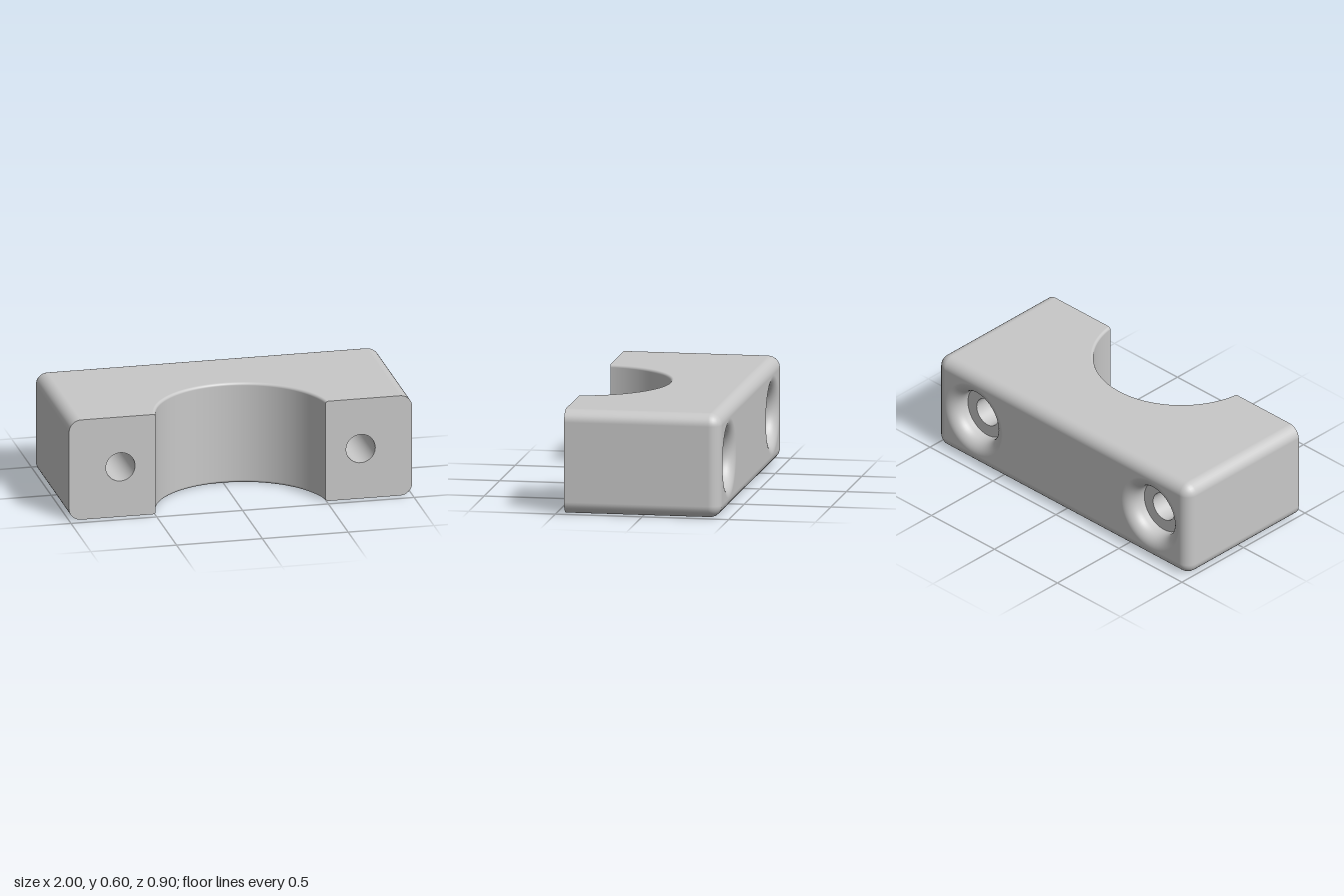
import * as THREE from 'three';

const W = 1, H = 0.6, D = 0.45;          // half width, height, half depth
const EDGE = 0.07;                       // outer edge rounding
const BORE_R = 0.5, BORE_Z = 0.52, BORE_F = 0.016; // saddle cut and its rim rounding
const HOLE_X = 0.7, HOLE_Y = H / 2, HOLE_R = 0.085;   // bolt holes
const SINK_R = 0.155, SINK_F = 0.073, SINK_D = 0.11;  // recess for the bolt head
const Q = Math.PI / 2;

// Smooth surface from a grid of { p: position, n: normal }, wound to face its normals
function grid(rows, cols, at, skip = () => false) {
  const pos = [], nor = [], index = [];
  for (let j = 0; j <= rows; j++) for (let i = 0; i <= cols; i++) {
    const { p, n } = at(i, j);
    pos.push(...p);
    nor.push(...n);
  }
  const vec = (a, i) => new THREE.Vector3().fromArray(a, i * 3);
  const tri = (a, b, c) => {
    const pa = vec(pos, a);
    const face = vec(pos, b).sub(pa).cross(vec(pos, c).sub(pa));
    if (face.lengthSq() < 1e-16) return;
    const want = vec(nor, a).add(vec(nor, b)).add(vec(nor, c));
    index.push(...(face.dot(want) > 0 ? [a, b, c] : [a, c, b]));
  };
  for (let j = 0; j < rows; j++) for (let i = 0; i < cols; i++) {
    if (skip(i, j)) continue;
    const a = j * (cols + 1) + i, b = a + cols + 1;
    tri(a, a + 1, b);
    tri(a + 1, b + 1, b);
  }
  const g = new THREE.BufferGeometry();
  g.setAttribute('position', new THREE.Float32BufferAttribute(pos, 3));
  g.setAttribute('normal', new THREE.Float32BufferAttribute(nor, 3));
  g.setIndex(index);
  return g;
}

// Rounded sides and back edges, leaving the flat top and bottom open
function shellGeometry() {
  const S = 8, cols = 4 * (S + 1);
  return grid(S + 1, cols, (i, j) => {
    const c = Math.floor(i / (S + 1)) % 4, a = (c + (i % (S + 1)) / S) * Q;
    const t = j === 0 ? 0 : ((j - 1) / S) * Q;
    const n = [Math.cos(a) * Math.cos(t), Math.sin(a) * Math.cos(t), -Math.sin(t)];
    const cx = (c === 0 || c === 3 ? 1 : -1) * (W - EDGE);
    const cy = c < 2 ? H - EDGE : EDGE;
    const z = j === 0 ? D : -D + EDGE + EDGE * n[2];
    return { p: [cx + EDGE * n[0], cy + EDGE * n[1], z], n };
  }, (i, j) => j === 0 && (i === S || i === 3 * S + 2));
}

// Saddle cut profile from bottom to top: radius, height and normal
const saddleProfile = [];
for (let k = 0; k <= 6; k++) {
  const t = (1 - k / 6) * Q;
  saddleProfile.push({ r: BORE_R + BORE_F * (1 - Math.cos(t)), y: BORE_F * (1 - Math.sin(t)), nr: -Math.cos(t), ny: -Math.sin(t) });
}
for (let k = 6; k >= 0; k--) {
  const s = saddleProfile[k];
  saddleProfile.push({ ...s, y: H - s.y, ny: -s.ny });
}
const saddleAngle = r => Math.acos((BORE_Z - D) / r);

function saddleGeometry() {
  const cols = 64;
  return grid(saddleProfile.length - 1, cols, (i, j) => {
    const { r, y, nr, ny } = saddleProfile[j];
    const a = saddleAngle(r) * (2 * i / cols - 1), s = Math.sin(a), c = -Math.cos(a);
    return { p: [r * s, y, BORE_Z + r * c], n: [nr * s, ny, nr * c] };
  });
}

// Flat face with the saddle notch at height y; flip = -1 faces up, 1 faces down
function notchedFace(flip, y) {
  const r = BORE_R + BORE_F, A = saddleAngle(r), x = W - EDGE;
  const pts = [[-x, D], [-x, -D + EDGE], [x, -D + EDGE], [x, D]];
  for (let i = 0; i <= 64; i++) {
    const a = A * (1 - i / 32);
    pts.push([r * Math.sin(a), BORE_Z - r * Math.cos(a)]);
  }
  const shape = new THREE.Shape(pts.map(([px, z]) => new THREE.Vector2(px, z * flip)));
  return new THREE.ShapeGeometry(shape).rotateX(flip * Q).translate(0, y, 0);
}

const circle = (x, r) => new THREE.Path().absarc(x, HOLE_Y, r, 0, Math.PI * 2, true);

// Flat front pad beside the saddle
function padGeometry(side) {
  const pts = saddleProfile.map(s => [s.r * Math.sin(saddleAngle(s.r)), s.y]);
  for (const [cy, start] of [[H - EDGE, Q], [EDGE, 0]]) {
    for (let k = 0; k <= 8; k++) {
      const a = start - (k / 8) * Q;
      pts.push([W - EDGE + EDGE * Math.cos(a), cy + EDGE * Math.sin(a)]);
    }
  }
  const shape = new THREE.Shape(pts.map(([x, y]) => new THREE.Vector2(side * x, y)));
  shape.holes.push(circle(side * HOLE_X, HOLE_R));
  return new THREE.ShapeGeometry(shape, 24).translate(0, 0, D);
}

// Flat back with openings for the bolt recesses
function backGeometry() {
  const x = W - EDGE;
  const shape = new THREE.Shape([[-x, EDGE], [x, EDGE], [x, H - EDGE], [-x, H - EDGE]].map(p => new THREE.Vector2(...p)));
  for (const s of [-1, 1]) shape.holes.push(circle(s * HOLE_X, SINK_R + SINK_F));
  return new THREE.ShapeGeometry(shape, 24).rotateY(Math.PI).translate(0, 0, -D);
}

// Surface turned around a bolt axis; each profile point is [radius, z, normal radius, normal z]
function turned(profile) {
  return grid(profile.length - 1, 48, (i, j) => {
    const a = (i / 48) * Math.PI * 2, c = Math.cos(a), s = Math.sin(a);
    const [r, z, nr, nz] = profile[j];
    return { p: [r * c, r * s, z], n: [nr * c, nr * s, nz] };
  });
}

export function createModel() {
  const group = new THREE.Group();
  const grey = new THREE.MeshStandardMaterial({ color: 0xc8c8c8 });
  grey.name = 'grey';
  const add = (name, geometry, parent = group) => {
    const mesh = new THREE.Mesh(geometry, grey);
    mesh.name = name;
    parent.add(mesh);
  };

  add('roundedShell', shellGeometry());
  add('topFace', notchedFace(-1, H));
  add('bottomFace', notchedFace(1, 0));
  add('backFace', backGeometry());
  add('saddle', saddleGeometry());

  // Rounded mouth of the bolt recess
  const mouth = [];
  for (let k = 0; k <= 10; k++) {
    const t = (k / 10) * Q, c = Math.cos(t), s = Math.sin(t);
    mouth.push([SINK_R + SINK_F * (1 - s), -D + SINK_F * (1 - c), -s, -c]);
  }
  const floor = -D + SINK_D;
  for (const side of [1, -1]) {
    const label = side > 0 ? 'left' : 'right';
    add(label + 'FrontPad', padGeometry(side));
    const bolt = new THREE.Group();
    bolt.name = label + 'BoltHole';
    bolt.position.set(side * HOLE_X, HOLE_Y, 0);
    add('recessMouth', turned(mouth), bolt);
    add('recessWall', turned([[SINK_R, -D + SINK_F, -1, 0], [SINK_R, floor, -1, 0]]), bolt);
    add('recessFloor', turned([[SINK_R, floor, 0, -1], [HOLE_R, floor, 0, -1]]), bolt);
    add('throughHole', turned([[HOLE_R, floor, -1, 0], [HOLE_R, D, -1, 0]]), bolt);
    group.add(bolt);
  }
  return group;
}
